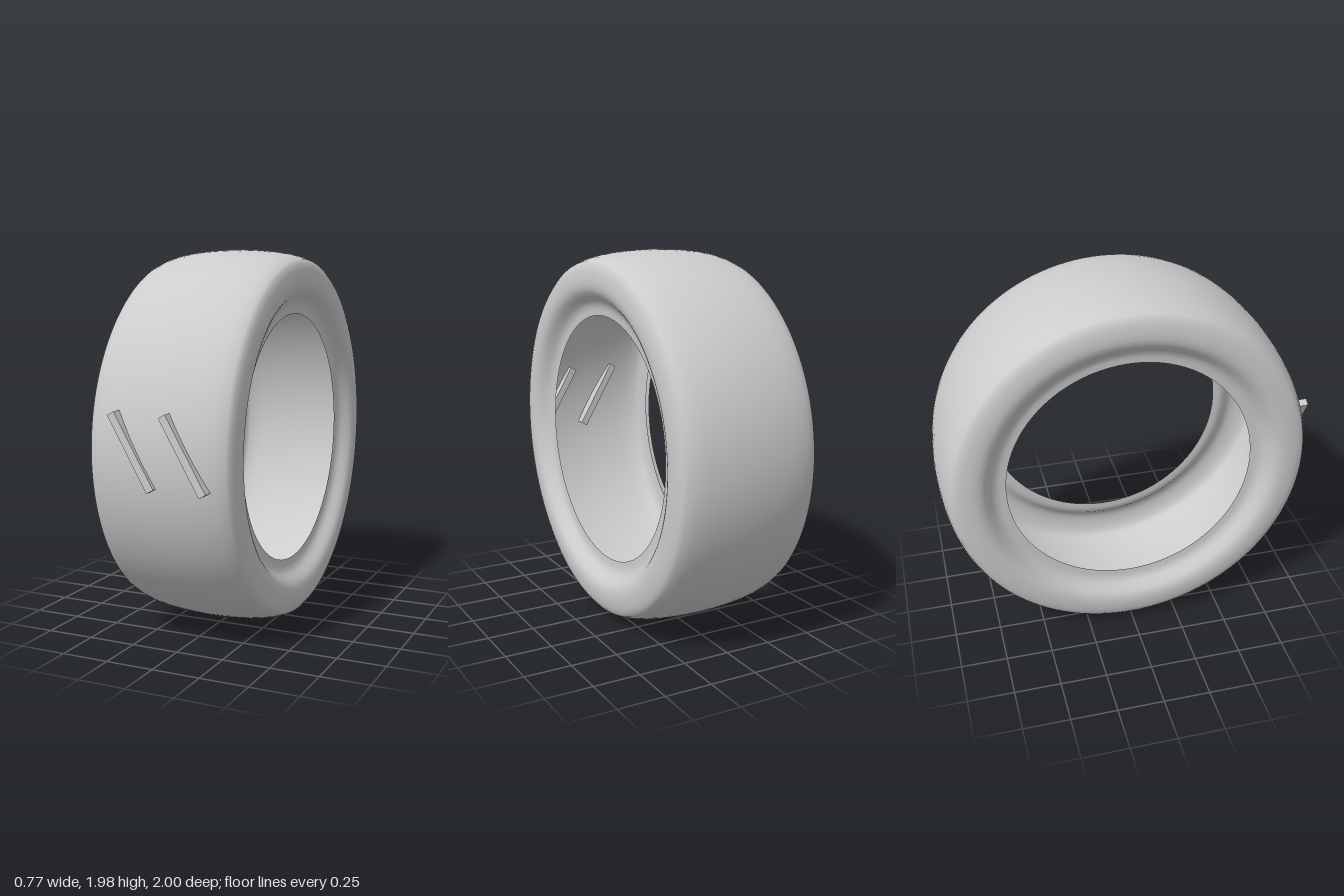
import * as THREE from 'three';

export function createModel() {
  const model = new THREE.Group();
  const grey = new THREE.MeshStandardMaterial({ color: 0xcccccc, side: THREE.DoubleSide });
  grey.name = 'rubber grey';

  // Half profile as [radius, distance from the middle plane], crown to bead
  const half = [
    [0.992, 0], [0.99, 0.07], [0.986, 0.14], [0.979, 0.21], [0.969, 0.27],
    [0.957, 0.315], [0.94, 0.355], [0.92, 0.37], [0.89, 0.38], [0.85, 0.385],
    [0.82, 0.385], [0.795, 0.38], [0.775, 0.37], [0.755, 0.353], [0.735, 0.333],
    [0.715, 0.319], [0.69, 0.313], [0.657, 0.312],
  ];
  const profile = [
    ...half.slice(1).reverse().map(([r, x]) => new THREE.Vector2(r, -x)),
    ...half.map(([r, x]) => new THREE.Vector2(r, x)),
  ];

  // Hollow tyre shell, open towards the axle, which runs along x
  const tyre = new THREE.Mesh(new THREE.LatheGeometry(profile, 128).rotateZ(-Math.PI / 2), grey);
  tyre.name = 'tyreShell';
  tyre.position.set(0, 0.992, -0.008);
  model.add(tyre);

  // Two slanted tread bars that pass through the front of the shell
  [-0.102, 0.168].forEach((x, i) => {
    const bar = new THREE.Mesh(new THREE.BoxGeometry(0.04, 0.41, 0.075), grey);
    bar.name = `treadBar${i + 1}`;
    bar.position.set(x, 1.036, 0.9625);
    bar.rotation.z = Math.PI / 6;
    model.add(bar);
  });

  return model;
}
